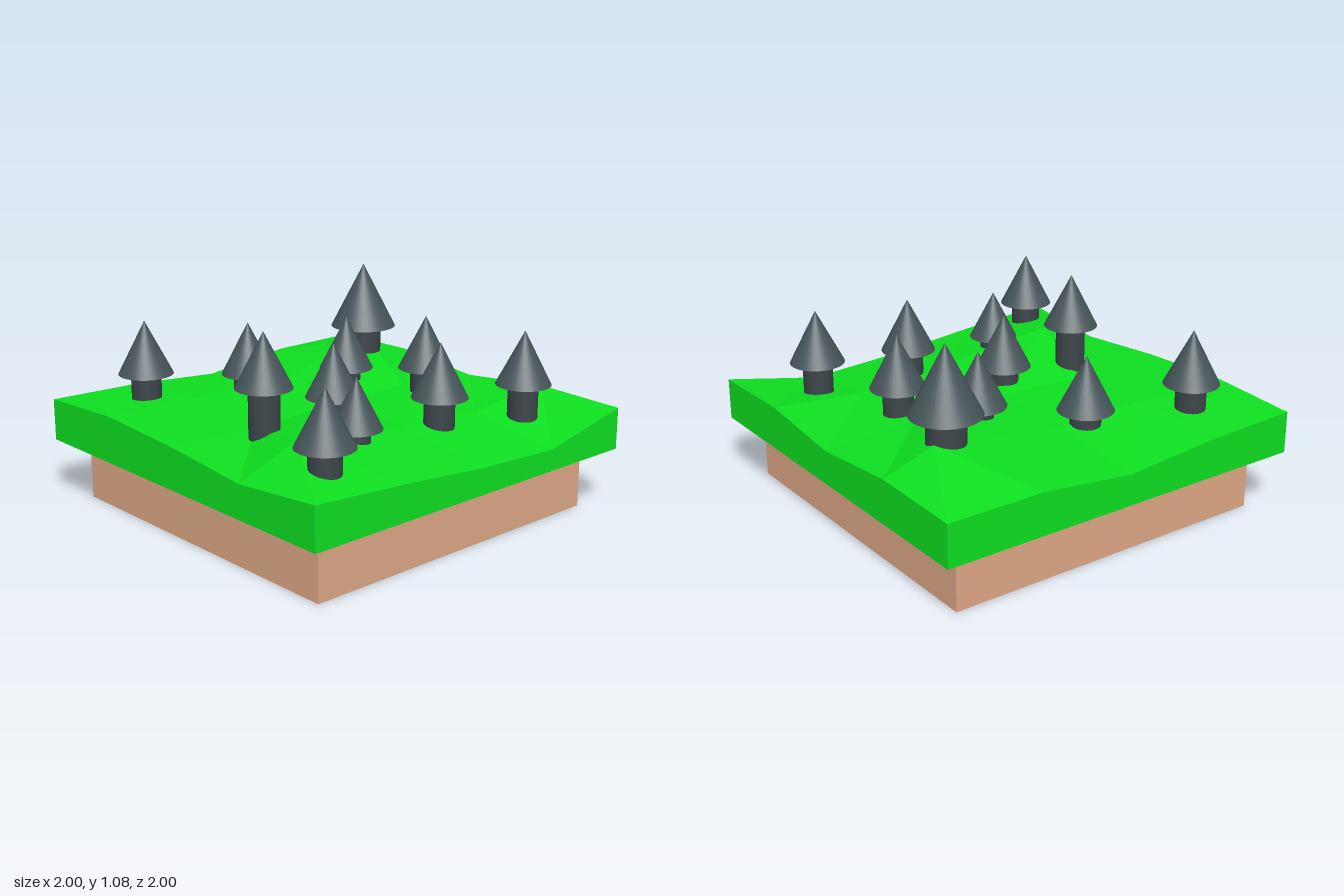
import * as THREE from 'three';

// Ground heights on a 5 x 5 grid: rows run back to front, columns left to right
const HEIGHTS = [
  [0.52, 0.53, 0.48, 0.53, 0.52],
  [0.52, 0.62, 0.52, 0.49, 0.415],
  [0.465, 0.52, 0.52, 0.52, 0.44],
  [0.505, 0.54, 0.5, 0.6, 0.485],
  [0.52, 0.545, 0.52, 0.475, 0.52],
];
const SLAB_BOTTOM = 0.307;

// Trees: x, z, height of the cone's base, scale
const TREES = [
  [-0.465, -0.64, 0.735, 1.25],
  [0.675, -0.655, 0.64, 1],
  [0.135, -0.515, 0.64, 1],
  [-0.22, -0.29, 0.61, 1],
  [0.555, -0.185, 0.64, 1],
  [-0.525, 0.12, 0.59, 1],
  [0.135, 0.12, 0.61, 1],
  [0.555, 0.36, 0.6, 0.9],
  [0.135, 0.555, 0.74, 1],
  [-0.69, 0.645, 0.655, 1],
  [0.78, 0.75, 0.655, 1],
];

function makeMesh(name, geometry, color, flatShading = false) {
  const mesh = new THREE.Mesh(geometry, new THREE.MeshStandardMaterial({ color, flatShading }));
  mesh.name = name;
  return mesh;
}

// Slab with a flat underside and a hilly, faceted top
function grassGeometry() {
  // The quarter turn sets the direction of the top's diagonals
  const box = new THREE.BoxGeometry(2, 1, 2, 4, 1, 4).rotateY(Math.PI / 2);
  const p = box.attributes.position;
  for (let i = 0; i < p.count; i++) {
    if (p.getY(i) < 0) {
      p.setY(i, SLAB_BOTTOM);
      continue;
    }
    const col = Math.round((p.getX(i) + 1) * 2);
    const row = Math.round((p.getZ(i) + 1) * 2);
    p.setY(i, HEIGHTS[row][col]);
    // The two hilltops sit nearer the edges
    if (row === 1 && col === 1) p.setZ(i, -0.73);
    if (row === 3 && col === 3) p.setZ(i, 0.67);
  }
  const flat = box.toNonIndexed();
  flat.computeVertexNormals();
  return flat;
}

function makeTree([x, z, base, scale]) {
  const tree = new THREE.Group();
  tree.name = 'tree';
  tree.position.set(x, 0, z);

  const coneHeight = 0.272 * scale;
  const foliage = makeMesh('foliage', new THREE.ConeGeometry(0.139 * scale, coneHeight, 32), 0x46555a);
  foliage.position.y = base + coneHeight / 2;

  // The trunk is sunk a little into the ground
  const foot = 0.42;
  const trunkHeight = base + 0.01 - foot;
  const trunk = makeMesh('trunk',
    new THREE.CylinderGeometry(0.076 * scale, 0.076 * scale, trunkHeight, 32), 0x3c464a);
  trunk.position.y = foot + trunkHeight / 2;

  tree.add(foliage, trunk);
  return tree;
}

export function createModel() {
  const model = new THREE.Group();
  model.name = 'forestTile';

  // Earth block below the grass
  const earth = makeMesh('earthBase', new THREE.BoxGeometry(1.75, 0.32, 1.75), 0xdea886);
  earth.position.y = 0.16;

  const grass = makeMesh('grass', grassGeometry(), 0x0ee020, true);

  const forest = new THREE.Group();
  forest.name = 'forest';
  for (const data of TREES) forest.add(makeTree(data));

  model.add(earth, grass, forest);
  return model;
}
